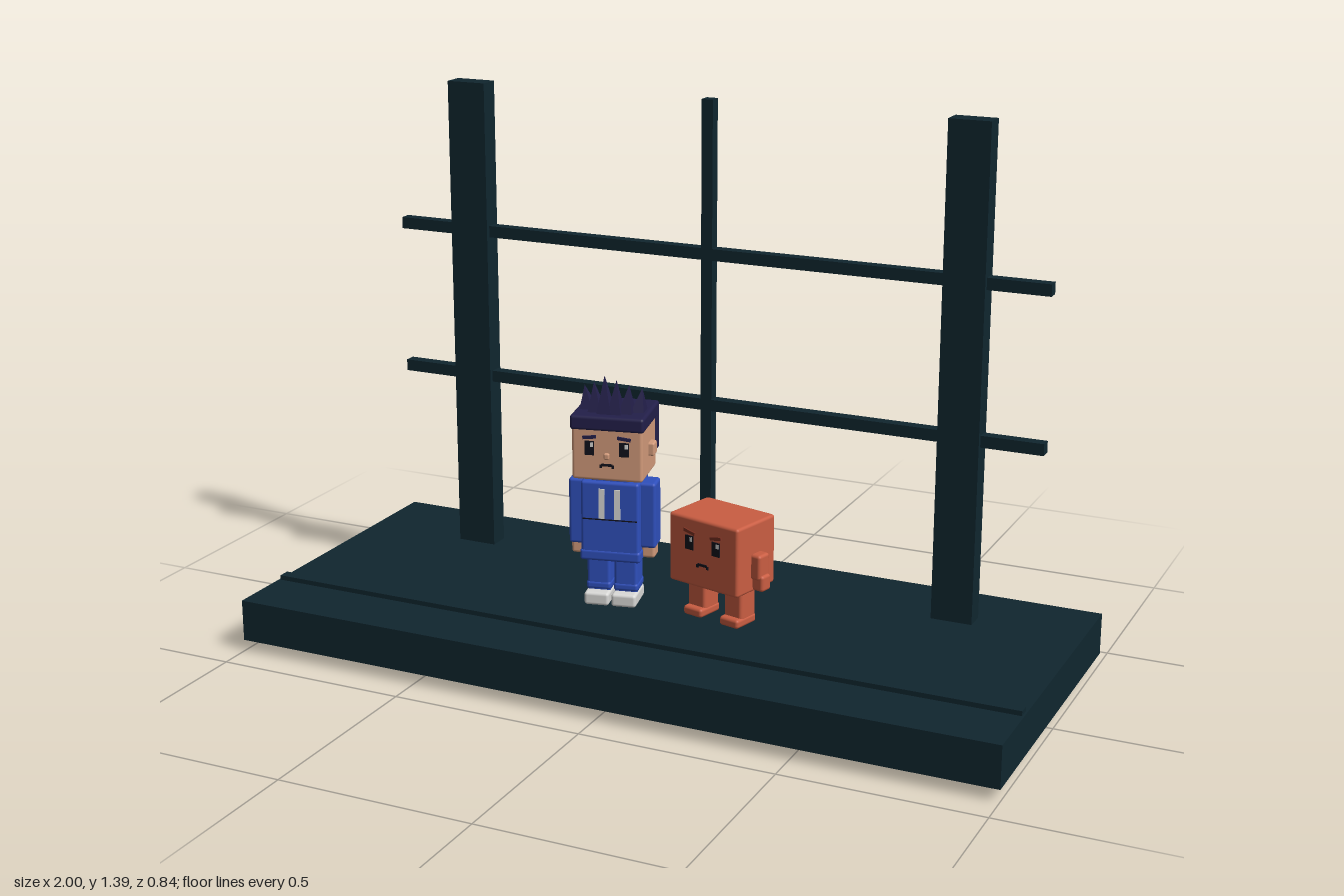
import * as THREE from 'three';
import { RoundedBoxGeometry } from 'three/addons/geometries/RoundedBoxGeometry.js';

const mat = (name, color) => Object.assign(new THREE.MeshStandardMaterial({ color }), { name });

export function createModel() {
  const dark = mat('dark teal', 0x10262f);
  const skin = mat('skin', 0xd39b7b);
  const hairM = mat('navy hair', 0x231f4a);
  const blue = mat('blue cloth', 0x2f50bd);
  const white = mat('off white', 0xdadad8);
  const orange = mat('orange', 0xc95d42);
  const black = mat('ink', 0x12121c);
  const brown = mat('dark red', 0x7a3022);

  const add = (parent, name, geo, material, x, y, z) => {
    const m = new THREE.Mesh(geo, material);
    m.name = name;
    m.position.set(x, y, z);
    parent.add(m);
    return m;
  };
  const box = (p, name, m, w, h, d, x, y, z) => add(p, name, new THREE.BoxGeometry(w, h, d), m, x, y, z);
  const soft = (p, name, m, w, h, d, x, y, z, r = 0.008) =>
    add(p, name, new RoundedBoxGeometry(w, h, d, 2, r), m, x, y, z);
  const group = (parent, name) => {
    const g = new THREE.Group();
    g.name = name;
    parent.add(g);
    return g;
  };

  const root = group(new THREE.Group(), 'scene');
  root.removeFromParent();

  // Platform and railing
  const stage = group(root, 'stage');
  box(stage, 'platform', dark, 2, 0.107, 0.84, 0, 0.0835, 0);
  box(stage, 'floorStrip', dark, 1.99, 0.014, 0.03, 0, 0.142, 0.24);
  for (const s of [-1, 1]) box(stage, 'post', dark, 0.106, 1.39, 0.054, s * 0.674, 0.695, -0.237);
  box(stage, 'centrePole', dark, 0.03, 1.39, 0.03, 0, 0.695, -0.237);
  for (const y of [0.609, 1.001]) box(stage, 'rail', dark, 1.77, 0.03, 0.03, 0, y, -0.237);

  // Eyes, brows and frown as thin plates on a front face
  const face = (p, z, eyeX, eyeY, mouthY, browM, tilt) => {
    for (const s of [-1, 1]) {
      box(p, 'eye', black, 0.024, 0.036, 0.004, s * eyeX, eyeY, z);
      box(p, 'eyeGlint', white, 0.008, 0.011, 0.004, s * eyeX + 0.006, eyeY + 0.009, z + 0.001);
      box(p, 'brow', browM, 0.034, 0.008, 0.006, s * eyeX, eyeY + 0.028, z).rotation.z = s * tilt;
      box(p, 'mouthCorner', black, 0.006, 0.008, 0.004, s * 0.015, mouthY - 0.004, z);
    }
    box(p, 'mouth', black, 0.028, 0.006, 0.004, 0, mouthY, z);
  };

  // Boy
  const boy = group(root, 'boy');
  boy.position.set(-0.15, 0, 0);
  boy.rotation.y = 0.22;
  for (const s of [-1, 1]) {
    soft(boy, 'shoe', white, 0.064, 0.034, 0.1, s * 0.035, 0.154, 0.012);
    soft(boy, 'leg', blue, 0.06, 0.1, 0.07, s * 0.035, 0.215, 0);
    soft(boy, 'trouserCuff', blue, 0.064, 0.022, 0.074, s * 0.035, 0.182, 0);
    soft(boy, 'sleeve', blue, 0.044, 0.172, 0.062, s * 0.09, 0.375, 0);
    soft(boy, 'hand', skin, 0.036, 0.04, 0.046, s * 0.09, 0.28, 0);
    box(boy, 'jacketStripe', white, 0.015, 0.078, 0.006, s * 0.02, 0.408, 0.055);
    soft(boy, 'ear', skin, 0.02, 0.034, 0.034, s * 0.095, 0.544, -0.004, 0.005);
  }
  soft(boy, 'jacket', blue, 0.15, 0.21, 0.11, 0, 0.36, 0);
  soft(boy, 'jacketHem', blue, 0.156, 0.03, 0.114, 0, 0.27, 0);
  box(boy, 'jacketSeam', black, 0.14, 0.003, 0.004, 0, 0.366, 0.054);
  soft(boy, 'collar', blue, 0.1, 0.024, 0.09, 0, 0.462, 0);
  box(boy, 'neck', skin, 0.06, 0.03, 0.06, 0, 0.47, 0);
  soft(boy, 'head', skin, 0.18, 0.15, 0.15, 0, 0.551, 0.003);
  soft(boy, 'nose', skin, 0.014, 0.016, 0.014, 0, 0.541, 0.079, 0.004);
  face(boy, 0.079, 0.044, 0.56, 0.518, hairM, -0.12);

  // Hair cap, back slab and a row of spikes
  const hair = group(boy, 'hair');
  soft(hair, 'hairCap', hairM, 0.188, 0.038, 0.178, 0, 0.623, -0.008);
  soft(hair, 'hairBack', hairM, 0.188, 0.125, 0.038, 0, 0.579, -0.078);
  const spikeTops = [0.7, 0.715, 0.735, 0.725, 0.712, 0.7];
  spikeTops.forEach((top, i) => {
    const h = top - 0.62;
    const cone = new THREE.ConeGeometry(0.04, h, 4).toNonIndexed();
    cone.rotateY(Math.PI / 4);
    cone.computeVertexNormals();
    const t = (i - 2.5) / 2.5;
    const spike = add(hair, 'spike', cone, hairM, t * 0.068, 0.62 + h / 2, 0.035 - 0.03 * t * t);
    spike.scale.set(0.8, 1, 1.1);
    spike.rotation.z = -t * 0.14;
  });

  // Square creature
  const pal = group(root, 'creature');
  pal.position.set(0.145, 0, 0);
  pal.rotation.y = -0.25;
  soft(pal, 'creatureBody', orange, 0.214, 0.178, 0.152, 0, 0.322, 0);
  for (const s of [-1, 1]) {
    soft(pal, 'creatureLeg', orange, 0.054, 0.11, 0.06, s * 0.057, 0.193, 0);
    soft(pal, 'creatureFoot', orange, 0.058, 0.024, 0.078, s * 0.057, 0.149, 0.008);
    soft(pal, 'creatureArm', orange, 0.032, 0.066, 0.042, s * 0.117, 0.3, 0);
    soft(pal, 'creatureHand', orange, 0.034, 0.042, 0.036, s * 0.123, 0.26, 0);
  }
  face(pal, 0.077, 0.041, 0.346, 0.295, brown, 0.2);

  return root;
}
